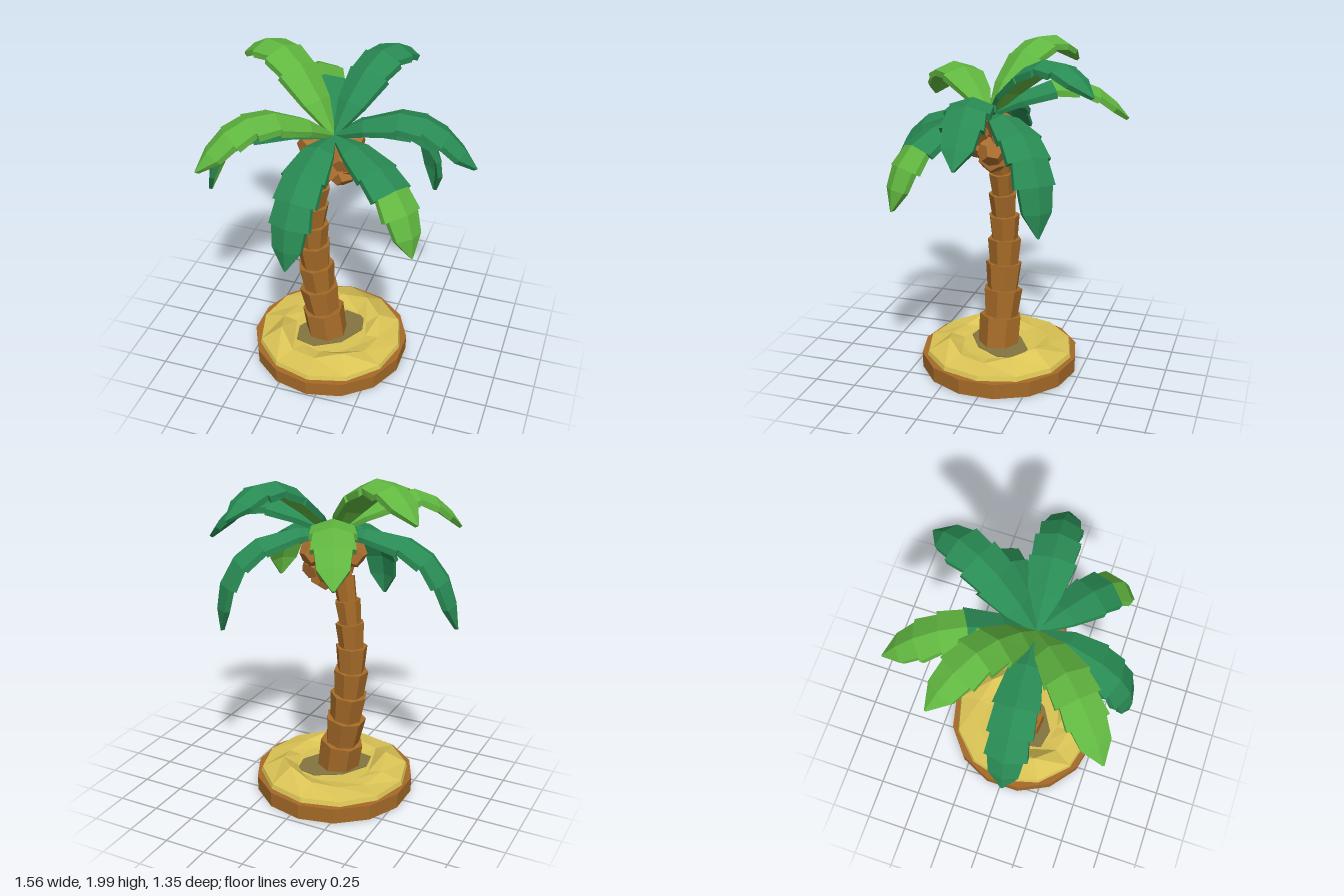
import * as THREE from 'three';

const mat = (name, color) => {
  const m = new THREE.MeshStandardMaterial({ color, flatShading: true });
  m.name = name;
  return m;
};
const UP = new THREE.Vector3(0, 1, 0);
const CROWN = new THREE.Vector3(-0.015, 1.6, 0.065);

function add(parent, name, geometry, material) {
  const mesh = new THREE.Mesh(geometry, material);
  mesh.name = name;
  parent.add(mesh);
  return mesh;
}

// Flat-shaded geometry from a list of triangle corners
function solid(corners) {
  const g = new THREE.BufferGeometry().setFromPoints(corners);
  g.computeVertexNormals();
  return g;
}

// One leaf section: folded roof-shaped slab between two stations of the curve.
// Group 0 is the top, edges and ends, group 1 the underside.
function leafSection(a, b) {
  const ring = ({ p, side, n, w, drop, thick }) =>
    [[0, 0], [w, -drop], [w, -drop - thick], [0, -thick], [-w, -drop - thick], [-w, -drop]]
      .map(([x, y]) => p.clone().addScaledVector(side, x).addScaledVector(n, y));
  const A = ring(a), B = ring(b), top = [], under = [];
  for (let i = 0; i < 6; i++) {
    const j = (i + 1) % 6;
    (i === 2 || i === 3 ? under : top).push(A[i], A[j], B[j], A[i], B[j], B[i]);
  }
  for (let i = 1; i < 5; i++) top.push(A[0], A[i + 1], A[i], B[0], B[i], B[i + 1]);
  const g = solid([...top, ...under]);
  g.addGroup(0, top.length, 0);
  g.addGroup(top.length, under.length, 1);
  return g;
}

// Stations along a frond and the half widths at each section's start and end
const STATIONS = [0, 0.2, 0.42, 0.58, 0.73, 0.87, 1];
const WIDTHS = [[0.015, 0.09], [0.09, 0.13], [0.115, 0.127], [0.105, 0.12], [0.1, 0.085], [0.085, 0.006]];

// Arching frond: each bend is [share of the way to the tip, height]
function frond(tip, bend1, bend2, materials) {
  const group = new THREE.Group();
  const end = new THREE.Vector3(...tip);
  const control = ([f, y]) => CROWN.clone().lerp(end, f).setY(y);
  const curve = new THREE.CubicBezierCurve3(CROWN, control(bend1), control(bend2), end);
  const side = end.clone().sub(CROWN).cross(UP).normalize();
  const station = (u, w) => ({
    p: curve.getPointAt(u), side, w,
    n: side.clone().cross(curve.getTangentAt(u)).normalize(),
    drop: w * 0.33, thick: 0.02 + 0.14 * w,
  });
  WIDTHS.forEach(([w0, w1], i) => {
    add(group, 'leafSection', leafSection(station(STATIONS[i], w0), station(STATIONS[i + 1], w1)), materials[i]);
  });
  return group;
}

export function createModel() {
  const model = new THREE.Group();
  model.name = 'palmTree';
  const bark = mat('bark brown', 0xa66b28);
  const husk = mat('coconut brown', 0xae702f);
  const sand = mat('sand yellow', 0xdac355);
  const damp = mat('damp sand', 0x857440);
  const dark = mat('dark leaf green', 0x298b54);
  const light = mat('light leaf green', 0x61b740);

  // Round plinth
  const island = new THREE.Group();
  island.name = 'island';
  island.position.set(-0.06, 0, 0.014);
  model.add(island);
  add(island, 'plinth', new THREE.CylinderGeometry(0.482, 0.48, 0.095, 14), bark).position.y = 0.0475;

  // Sand disc with low dunes
  const dunes = [0.14, 0.15, 0.195, 0.15, 0.14, 0.2, 0.15, 0.13, 0.145, 0.16, 0.205, 0.185];
  const N = dunes.length;
  const ringPoint = (r, k, y) => {
    const a = (k % N) * Math.PI * 2 / N;
    return new THREE.Vector3(r * Math.cos(a), y, r * Math.sin(a));
  };
  const rows = [
    (k) => ringPoint(0.455, k, 0.09),
    (k) => ringPoint(0.445, k, 0.122),
    (k) => ringPoint(0.315, k, dunes[k % N]),
    (k) => ringPoint(0.23, k, 0.13),
    () => new THREE.Vector3(0, 0.128, 0),
  ];
  const tris = [];
  for (let r = 0; r < rows.length - 1; r++) {
    for (let k = 0; k < N; k++) {
      const a = rows[r](k), b = rows[r](k + 1), c = rows[r + 1](k + 1), d = rows[r + 1](k);
      tris.push(a, c, b);
      if (r < rows.length - 2) tris.push(a, d, c);
    }
  }
  add(island, 'sand', solid(tris), sand);

  // Long damp patch around the foot of the trunk
  const patch = add(island, 'dampSand', new THREE.CylinderGeometry(0.24, 0.24, 0.006, 8), damp);
  patch.position.y = 0.131;
  patch.rotation.y = Math.PI / 4;
  patch.scale.z = 0.62;

  // Curved trunk of flared rings that shorten and thin towards the crown
  const trunk = new THREE.Group();
  trunk.name = 'trunk';
  model.add(trunk);
  const spine = new THREE.CatmullRomCurve3([
    new THREE.Vector3(-0.08, 0.12, 0.025), new THREE.Vector3(-0.155, 0.65, 0.015),
    new THREE.Vector3(-0.163, 0.97, 0.02), new THREE.Vector3(-0.1, 1.36, 0.035),
    new THREE.Vector3(-0.025, 1.57, 0.06),
  ]);
  const RINGS = 10;
  const spinePoint = (i) => {
    const k = i / RINGS;
    return spine.getPointAt(1.22 * k - 0.22 * k * k);
  };
  for (let i = 1; i <= RINGS; i++) {
    const a = spinePoint(i - 1), b = spinePoint(i);
    const axis = b.clone().sub(a);
    const r = 0.14 - 0.009 * i;
    const ring = add(trunk, 'trunkRing',
      new THREE.CylinderGeometry(r, r * (i === 1 ? 0.97 : 0.84), axis.length() + 0.012, 7), bark);
    ring.position.copy(a).add(b).multiplyScalar(0.5);
    ring.quaternion.setFromUnitVectors(UP, axis.normalize());
    ring.rotateY(i * 0.35);
  }

  // Coconut cluster
  const coconuts = new THREE.Group();
  coconuts.name = 'coconuts';
  model.add(coconuts);
  [[-0.155, 1.5, 0.04], [0.06, 1.5, 0.13], [0.07, 1.4, 0.02], [0.02, 1.34, 0.03],
    [-0.05, 1.4, 0.13], [0.05, 1.5, -0.04], [-0.05, 1.41, -0.04], [-0.06, 1.5, 0.13]].forEach((p, i) => {
    const nut = add(coconuts, 'coconut', new THREE.DodecahedronGeometry(0.085), husk);
    nut.position.set(...p);
    nut.rotation.set(i * 0.9, i * 1.7, 0);
  });

  // Crown of fronds: tip, two bends, and rules for which sections are light green above and below
  const all = () => true;
  const none = () => false;
  const addFrond = (name, tip, bend1, bend2, lightTop, lightUnder = lightTop) => {
    const pick = (isLight) => (isLight ? light : dark);
    const leaf = frond(tip, bend1, bend2, WIDTHS.map((_, i) => [pick(lightTop(i)), pick(lightUnder(i))]));
    leaf.name = name;
    model.add(leaf);
  };
  addFrond('backRightFrond', [-0.39, 1.54, -0.68], [0.33, 1.82], [0.7, 1.9], (i) => i >= 2);
  addFrond('upperRightFrond', [-0.68, 1.82, -0.3], [0.3, 2], [0.67, 2.145], all);
  addFrond('frontRightFrond', [-0.6, 1.57, 0.62], [0.3, 1.84], [0.7, 1.96], all);
  addFrond('frontLeftFrond', [0.55, 1.15, 0.45], [0.5, 1.67], [1.04, 1.51], (i) => i >= 3);
  addFrond('upperBackFrond', [0.28, 1.8, -0.61], [0.3, 1.97], [0.7, 2.1], none, (i) => i < 2);
  addFrond('backLeftFrond', [0.485, 1.06, -0.375], [0.5, 1.73], [1.15, 1.55], none);
  addFrond('leftFrond', [0.78, 1.49, 0], [0.33, 1.81], [0.7, 1.9], none);
  addFrond('rightFrond', [-0.78, 1.12, 0.12], [0.45, 1.72], [0.98, 1.62], none, (i) => i >= 4);
  addFrond('frontFrond', [-0.1, 1.06, 0.66], [0.45, 1.69], [1.1, 1.52], none);
  return model;
}
